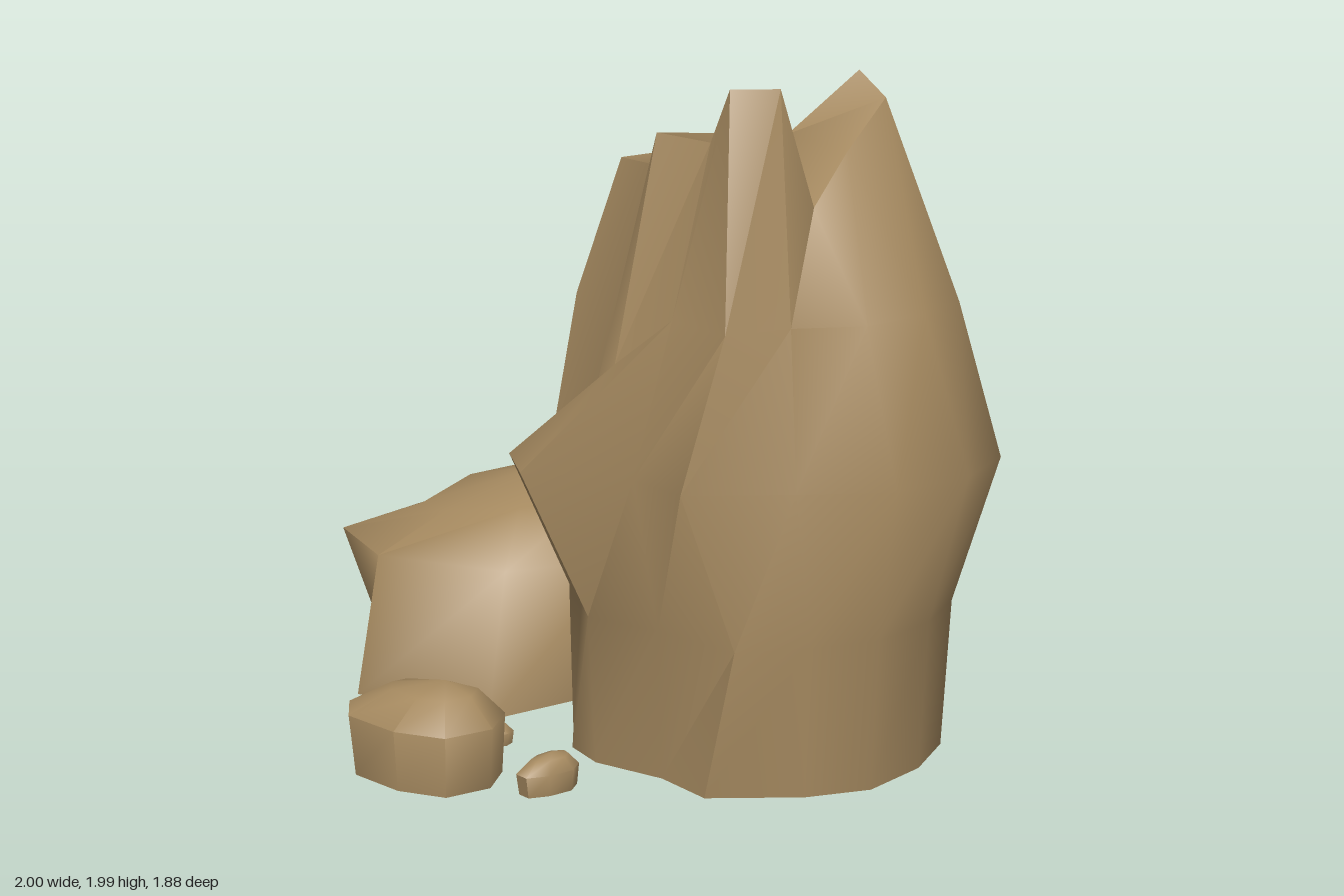
import * as THREE from 'three';
import { toCreasedNormals } from 'three/addons/utils/BufferGeometryUtils.js';

const stone = new THREE.MeshStandardMaterial({ color: 0xa68a60, side: THREE.DoubleSide });
stone.name = 'sandstone';

// Skin a list of rings (each a loop of [x, y, z]). An apex closes the top,
// and a flat base is added if wanted.
function rock(name, rings, { apex, base = false, crease = 0.9 }) {
  const pos = [];
  const tri = (a, b, c) => pos.push(...a, ...b, ...c);
  const n = rings[0].length;
  const middle = [0, 1, 2].map((k) => rings[0].reduce((s, p) => s + p[k], 0) / n);
  const top = rings[rings.length - 1];
  for (let i = 0; i < n; i++) {
    const j = (i + 1) % n;
    for (let r = 0; r + 1 < rings.length; r++) {
      const lo = rings[r], hi = rings[r + 1];
      tri(lo[i], lo[j], hi[j]);
      tri(lo[i], hi[j], hi[i]);
    }
    if (apex) tri(top[i], top[j], apex);
    if (base) tri(rings[0][j], rings[0][i], middle);
  }
  const geo = new THREE.BufferGeometry();
  geo.setAttribute('position', new THREE.Float32BufferAttribute(pos, 3));
  const mesh = new THREE.Mesh(toCreasedNormals(geo, crease), stone);
  mesh.name = name;
  return mesh;
}

// Ring of [x, z] pairs at one height
const level = (y, pts) => pts.map(([x, z]) => [x, y, z]);

// Copy of a ring at height y, drawn in towards a centre by the fraction t
const shrink = (ring, [cx, , cz], t, y) =>
  ring.map(([x, , z]) => [x + (cx - x) * t, y, z + (cz - z) * t]);

// Tall pillar: foot, waist, bulge, shoulder and jagged rim, with a hollow crown
function tallRock() {
  const waist = level(0.46, [[.21, .94], [.42, .9], [.62, .84], [.78, .66], [.87, .45],
    [.85, .1], [.7, -.08], [.5, -.24], [.38, -.18], [.2, .05], [0, .12], [-.26, .27],
    [-.22, .42], [-.2, .6], [0, .74]]);
  const bulge = level(0.9, [[.06, .9], [.38, .89], [.66, .87], [.88, .7], [1, .47],
    [.97, .1], [.77, -.11], [.51, -.34], [.37, -.28], [.13, .07], [-.07, .09], [-.31, .27],
    [-.43, .41], [-.39, .64], [-.07, .73]]);
  const rim = [[.2, 1.99, .64], [.34, 1.99, .64], [.44, 1.65, .58], [.54, 1.79, .46],
    [.66, 1.93, .33], [.59, 2, .24], [.57, 1.87, .1], [.56, 1.76, -.01], [.42, 1.79, -.05],
    [.25, 1.63, 0], [.19, 1.74, .18], [-.1, 1.75, .27], [-.02, 1.75, .4], [0, 1.85, .48],
    [.15, 1.83, .55]];
  const foot = shrink(waist, [.3, 0, .3], .04, 0.01);
  foot[0] = [.13, .01, .88];
  foot[11] = [-.25, .01, .3];
  foot[12] = [-.25, .01, .46];
  // Shoulder lies between bulge and rim, with a front ridge and a side spur
  const shoulder = bulge.map(([x, , z], i) =>
    [x + (rim[i][0] - x) * .37, 1.35, z + (rim[i][2] - z) * .33]);
  shoulder[0] = [.18, 1.35, .91];
  shoulder[12] = [-.17, 1.12, .43];
  shoulder[13] = [-.12, 1.2, .57];
  shoulder[14] = [.04, 1.35, .69];
  const group = new THREE.Group();
  group.name = 'tallRock';
  group.add(
    rock('pillar', [foot, waist, bulge, shoulder, rim], { base: true }),
    rock('crown', [rim], { apex: [.38, 1.82, .3], crease: 1.3 }),
  );
  return group;
}

// Broad boulder behind, open underneath
function boulder() {
  const apex = [-.36, .65, -.42];
  const foot = level(0.02, [[-.51, .25], [-.15, 0], [.1, -.22], [.1, -.42], [-.02, -.76],
    [-.38, -.94], [-.83, -.74], [-.86, -.4], [-.93, 0]]);
  const middle = level(0.46, [[-.46, .15], [-.1, 0], [.12, -.25], [.16, -.4], [0, -.77],
    [-.4, -.86], [-.76, -.68], [-1, -.36], [-.86, -.04]]);
  // The upper ring dips towards the left
  const upper = shrink(middle, apex, .4, 0).map(([x, , z]) => [x, Math.min(.6, .76 + x * .3), z]);
  return rock('boulder', [foot, middle, upper], { apex, crease: 1.5 });
}

// Medium stone at the front
function frontStone() {
  const apex = [-.61, .3, .69];
  const edge = level(0.19, [[-.6, .88], [-.47, .8], [-.44, .66], [-.59, .55], [-.82, .5],
    [-.9, .55], [-.89, .68], [-.75, .82]]);
  return rock('frontStone',
    [shrink(edge, apex, .06, .01), edge, shrink(edge, apex, .45, .27)], { apex, base: true });
}

// Small stone: squat upright sides with a domed top, turned about y
function pebble(name, x, z, length, width, height, turn) {
  const edge = Array.from({ length: 8 }, (_, i) => {
    const a = ((i + 0.5) / 8) * Math.PI * 2;
    const k = i % 3 === 1 ? 1 : 1.1;
    return [Math.sin(a) * length * k, height * 0.6, Math.cos(a) * width * k];
  });
  const apex = [length * 0.1, height, 0];
  const mesh = rock(name,
    [shrink(edge, apex, .08, .01), edge, shrink(edge, apex, .4, height * 0.9)],
    { apex, base: true });
  mesh.position.set(x, 0, z);
  mesh.rotation.y = turn;
  return mesh;
}

export function createModel() {
  const model = new THREE.Group();
  model.name = 'rockFormation';
  model.add(tallRock(), boulder(), frontStone());

  // Scattered pebbles: x, z, half length, half width, height, turn
  [
    [.135, -.795, .082, .06, .1, -1.1],
    [.57, -.715, .122, .07, .15, 1.5],
    [.785, -.835, .098, .058, .14, -.4],
    [.71, -.24, .113, .065, .14, -.1],
    [-.495, .415, .066, .042, .08, -.3],
    [-.31, .8, .1, .055, .12, .7],
  ].forEach((p, i) => model.add(pebble('pebble' + (i + 1), ...p)));

  return model;
}
